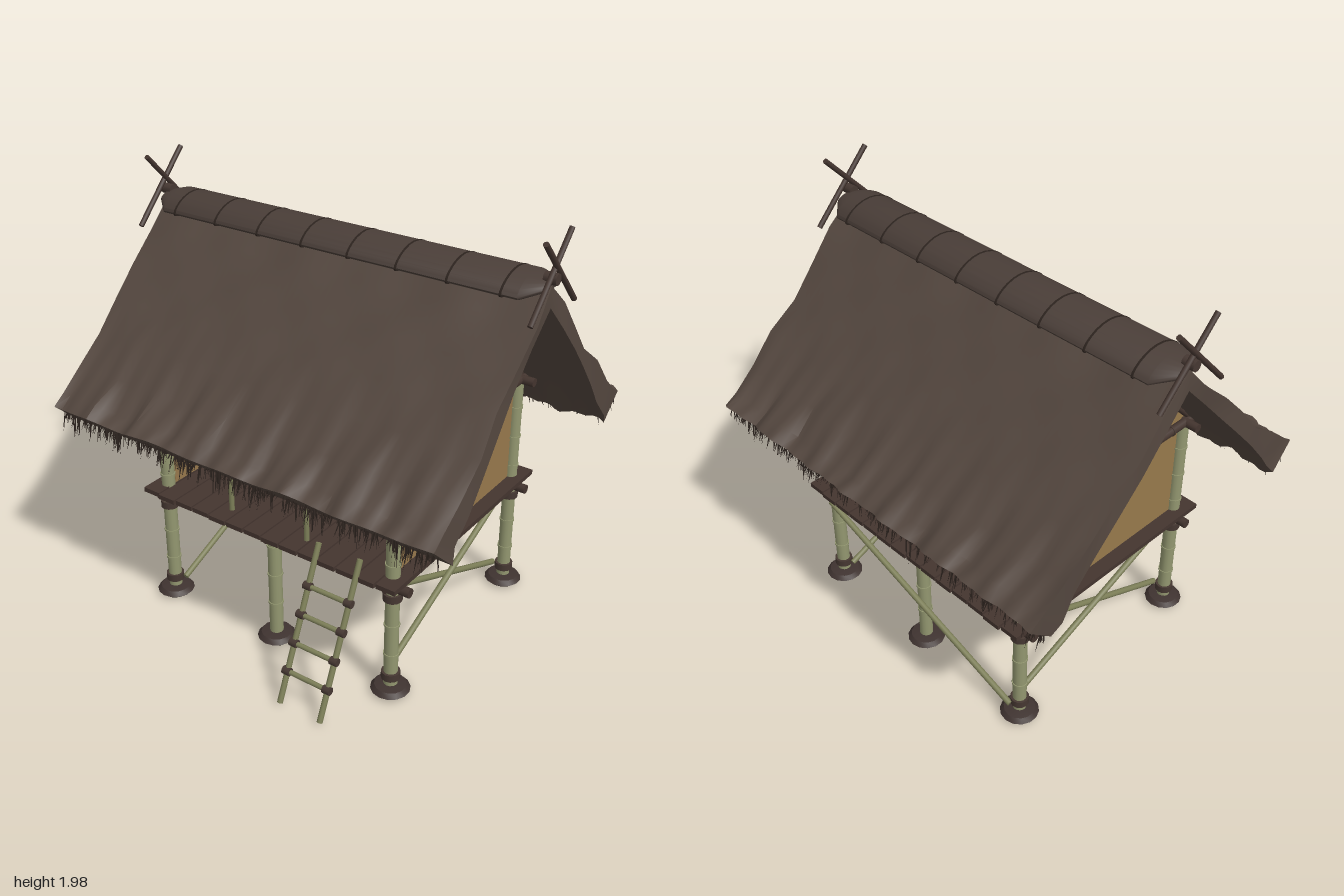
import * as THREE from 'three';
import { toCreasedNormals } from 'three/addons/utils/BufferGeometryUtils.js';

const mat = (name, color, side = THREE.FrontSide) => {
  const m = new THREE.MeshStandardMaterial({ color, side });
  m.name = name;
  return m;
};

export function createModel() {
  const thatch = mat('thatch', 0x54473f);
  const straw = mat('dark straw', 0x2c231e, THREE.DoubleSide);
  const ridgeMat = mat('ridge thatch', 0x4a3e38);
  const wood = mat('dark wood', 0x44352f);
  const binding = mat('binding', 0x463832);
  const stone = mat('footing stone', 0x3f3330);
  const wallMat = mat('woven wall', 0x97794c);
  const bamboo = mat('bamboo', 0x939770);
  const pole = mat('thin bamboo', 0x7d7f58);

  const root = new THREE.Group();
  root.name = 'stiltHut';
  const hut = new THREE.Group();
  hut.name = 'hut';
  hut.position.z = -0.015;
  root.add(hut);

  let seed = 7;
  const rand = () => (seed = (seed * 16807) % 2147483647) / 2147483647;

  const add = (name, geo, m, x = 0, y = 0, z = 0) => {
    const mesh = new THREE.Mesh(geo, m);
    mesh.name = name;
    mesh.position.set(x, y, z);
    hut.add(mesh);
    return mesh;
  };
  const box = (name, m, w, h, d, x, y, z) => add(name, new THREE.BoxGeometry(w, h, d), m, x, y, z);
  const rod = (name, m, a, b, r, sides = 10) => {
    const p = new THREE.Vector3(...a), q = new THREE.Vector3(...b);
    const d = q.clone().sub(p);
    const mesh = add(name, new THREE.CylinderGeometry(r, r, d.length(), sides), m);
    mesh.position.copy(p).add(q).multiplyScalar(0.5);
    mesh.quaternion.setFromUnitVectors(new THREE.Vector3(0, 1, 0), d.normalize());
    return mesh;
  };

  // Posts with nodes, bindings and footing stones
  const stoneGeo = new THREE.LatheGeometry(
    [[0, 0], [0.065, 0], [0.087, 0.018], [0.07, 0.038], [0, 0.05]].map(p => new THREE.Vector2(...p)), 14);
  for (const x of [-0.615, 0, 0.615]) for (const z of [-0.495, 0.495]) {
    const top = x ? 1.09 : 0.56;
    add('footingStone', toCreasedNormals(stoneGeo, 0.6), stone, x, 0, z);
    rod('post', bamboo, [x, 0.03, z], [x, top, z], 0.031, 14);
    for (let y = 0.2; y < top; y += 0.15) rod('postNode', bamboo, [x, y - 0.005, z], [x, y + 0.005, z], 0.035, 14);
    if (x) for (const y of [0.09, 0.495]) rod('postBinding', binding, [x, y - 0.017, z], [x, y + 0.017, z], 0.042, 12);
  }

  // Diagonal braces
  for (const x of [-0.575, 0.575]) for (const s of [-1, 1])
    rod('sideBrace', pole, [x + s * 0.012, 0.09, s * 0.48], [x + s * 0.012, 0.5, -s * 0.48], 0.014);
  rod('backBrace', pole, [-0.6, 0.08, -0.54], [0.6, 0.5, -0.54], 0.014);

  // Floor beams and deck planks
  for (const z of [-0.495, 0.495]) rod('floorBeam', wood, [-0.7, 0.54, z], [0.7, 0.54, z], 0.022);
  for (const x of [-0.615, 0, 0.615]) rod('crossBeam', wood, [x, 0.555, -0.56], [x, 0.555, 0.56], 0.014);
  for (let i = 0; i < 14; i++)
    box('deckPlank', wood, 0.09, 0.022, 1.17 + 0.02 * rand(), -0.637 + i * 0.098, 0.584, 0);

  // Gable walls with their frames
  const gable = new THREE.Shape(
    [[-0.47, 0.595], [0.47, 0.595], [0.47, 1.09], [0.53, 1.1], [0, 1.63], [-0.53, 1.1], [-0.47, 1.09]]
      .map(p => new THREE.Vector2(...p)));
  for (const s of [-1, 1]) {
    const wall = add('gableWall', new THREE.ExtrudeGeometry(gable, { depth: 0.02, bevelEnabled: false }),
      wallMat, s * 0.605 - 0.01);
    wall.rotation.y = Math.PI / 2;
    rod('gableTieBeam', wood, [s * 0.63, 1.09, -0.55], [s * 0.63, 1.09, 0.55], 0.021);
    for (let k = -2; k <= 2; k++)
      rod('beamNode', wood, [s * 0.63, 1.09, k * 0.2 - 0.004], [s * 0.63, 1.09, k * 0.2 + 0.004], 0.024);
    rod('eaveBeam', wood, [-0.7, 1.09, s * 0.495], [0.7, 1.09, s * 0.495], 0.021);
    for (const x of [-0.62, 0, 0.62]) rod('rafter', wood, [x, 1.63, 0], [x, 1.08, s * 0.55], 0.014);
  }
  rod('ridgePole', wood, [-0.8, 1.625, 0], [0.8, 1.625, 0], 0.024);

  // Back wall around a window opening
  box('backWall', wallMat, 0.54, 0.49, 0.02, -0.33, 0.84, -0.49);
  box('backWall', wallMat, 0.3, 0.49, 0.02, 0.445, 0.84, -0.49);
  box('backWallBelow', wallMat, 0.355, 0.095, 0.018, 0.118, 0.643, -0.488);
  box('backWallAbove', wallMat, 0.355, 0.08, 0.018, 0.118, 1.045, -0.488);
  for (const y of [0.69, 1.0]) rod('windowRail', pole, [-0.085, y, -0.49], [0.315, y, -0.49], 0.014);
  for (const x of [-0.065, 0.297]) rod('windowJamb', pole, [x, 0.6, -0.49], [x, 1.0, -0.49], 0.012);

  // Porch railing
  rod('handrail', pole, [-0.6, 0.775, 0.495], [0.185, 0.775, 0.495], 0.013);
  for (const x of [-0.235, 0.177]) rod('railPost', pole, [x, 0.59, 0.495], [x, 0.785, 0.495], 0.012);

  // Ladder
  for (const x of [0.29, 0.497]) rod('ladderRail', pole, [x, 0.012, 0.843], [x, 0.66, 0.56], 0.013);
  for (const y of [0.145, 0.26, 0.375, 0.49]) {
    const z = 0.843 - (y - 0.012) * 0.437 + 0.005;
    rod('ladderRung', pole, [0.28, y, z], [0.507, y, z], 0.011);
    for (const x of [0.29, 0.497]) rod('rungBinding', binding, [x - 0.018, y, z], [x + 0.018, y, z], 0.018);
  }

  // Thatched roof: one closed cross-section swept along x with gentle waves
  const outer = [[0.8, 1.01], [0.74, 1.05], [0.63, 1.14], [0.5, 1.26], [0.37, 1.385], [0.25, 1.51], [0.12, 1.65], [0, 1.77]];
  const inner = [[0.68, 0.9], [0.64, 0.955], [0.57, 1.045], [0.47, 1.17], [0.35, 1.305], [0.24, 1.425], [0.12, 1.555], [0, 1.68]];
  const mirror = list => [...list, ...list.slice(0, -1).reverse().map(([z, y]) => [-z, y])];
  const top = mirror(outer), under = mirror(inner), n = top.length;
  const ring = [...top, ...under.slice().reverse()], rn = ring.length, steps = 64;
  const pos = [], idx = [];
  for (let s = 0; s <= steps; s++) {
    const u = -1 + (2 * s) / steps;
    ring.forEach(([z, y], k) => {
      const x = u * (0.975 + 0.008 * Math.sin(z * 31 + k * 1.7));
      const edge = Math.min(1, Math.abs(z) / 0.7);
      const rag = edge ** 6 * (0.009 * Math.sin(u * 23 + z) + 0.007 * Math.sin(u * 51 + z * 5));
      const bump = k < n && Math.abs(z) > 0.05
        ? 0.009 * Math.sin(u * 9 + z * 14) + 0.007 * Math.sin(u * 17 - z * 21) : 0;
      pos.push(x, y + bump + rag * 0.8, z + Math.sign(z) * (rag + bump * 0.7));
    });
  }
  for (let s = 0; s < steps; s++) for (let k = 0; k < rn; k++) {
    const a = s * rn + k, b = s * rn + (k + 1) % rn, c = b + rn, d = a + rn;
    idx.push(a, d, c, a, c, b);
  }
  for (let i = 0; i < n - 1; i++) {
    const a = i, b = rn - 1 - i, c = rn - 2 - i, d = i + 1, e = steps * rn;
    idx.push(a + e, b + e, c + e, a + e, c + e, d + e, a, c, b, a, d, c);
  }
  const roofGeo = new THREE.BufferGeometry();
  roofGeo.setAttribute('position', new THREE.Float32BufferAttribute(pos, 3));
  roofGeo.setIndex(idx);
  add('thatchRoof', toCreasedNormals(roofGeo, 0.7), thatch);

  // Loose straw hanging from both eaves
  const strands = [];
  for (const side of [-1, 1]) for (let i = 0; i < 330; i++) {
    const x = -0.96 + 1.92 * rand(), t = rand() * 0.8, w = 0.003 + 0.004 * rand();
    const z = 0.69 + 0.1 * t, y = 0.925 + 0.09 * t;
    const tipY = 0.91 + 0.05 * t - 0.085 * rand() ** 2, tipX = x + (rand() - 0.5) * 0.04;
    strands.push(x - w, y, side * z, x + w, y, side * z, tipX, tipY, side * (z + 0.03 * rand()));
    strands.push(x, y, side * (z - w), x, y, side * (z + w), tipX, tipY, side * (z + 0.02));
  }
  const fringeGeo = new THREE.BufferGeometry();
  fringeGeo.setAttribute('position', new THREE.Float32BufferAttribute(strands, 3));
  fringeGeo.computeVertexNormals();
  add('strawFringe', fringeGeo, straw);

  // Draped ridge roll with tie bands
  const drape = profile => {
    const g = new THREE.LatheGeometry(profile.map(p => new THREE.Vector2(...p)), 24);
    g.rotateZ(-Math.PI / 2);
    const p = g.attributes.position;
    for (let i = 0; i < p.count; i++) {
      const z = p.getZ(i);
      p.setXYZ(i, p.getX(i), 1.773 + p.getY(i) * 0.042 - 0.03 * z * z, z * 0.135 - 0.01);
    }
    return toCreasedNormals(g, 0.7);
  };
  add('ridgeRoll', drape([[0, -0.965], [0.5, -0.965], [1, -0.89], [1, 0.89], [0.5, 0.965], [0, 0.965]]), ridgeMat);
  for (let i = 0; i < 8; i++) {
    const x = -0.82 + i * 0.2343;
    add('ridgeBand', drape([[0.98, x - 0.005], [1.04, x - 0.004], [1.04, x + 0.004], [0.98, x + 0.005]]), straw);
  }

  // Crossed finials at the gable tips
  for (const s of [-1, 1]) {
    for (const d of [-1, 1])
      rod('crossedFinial', wood, [s * 0.982 + d * 0.004, 1.97, d * 0.115], [s * 0.982 + d * 0.004, 1.665, -d * 0.175], 0.012, 8);
    rod('finialBinding', binding, [s * 0.94, 1.8, 0], [s * 0.995, 1.8, 0], 0.024);
  }
  return root;
}
